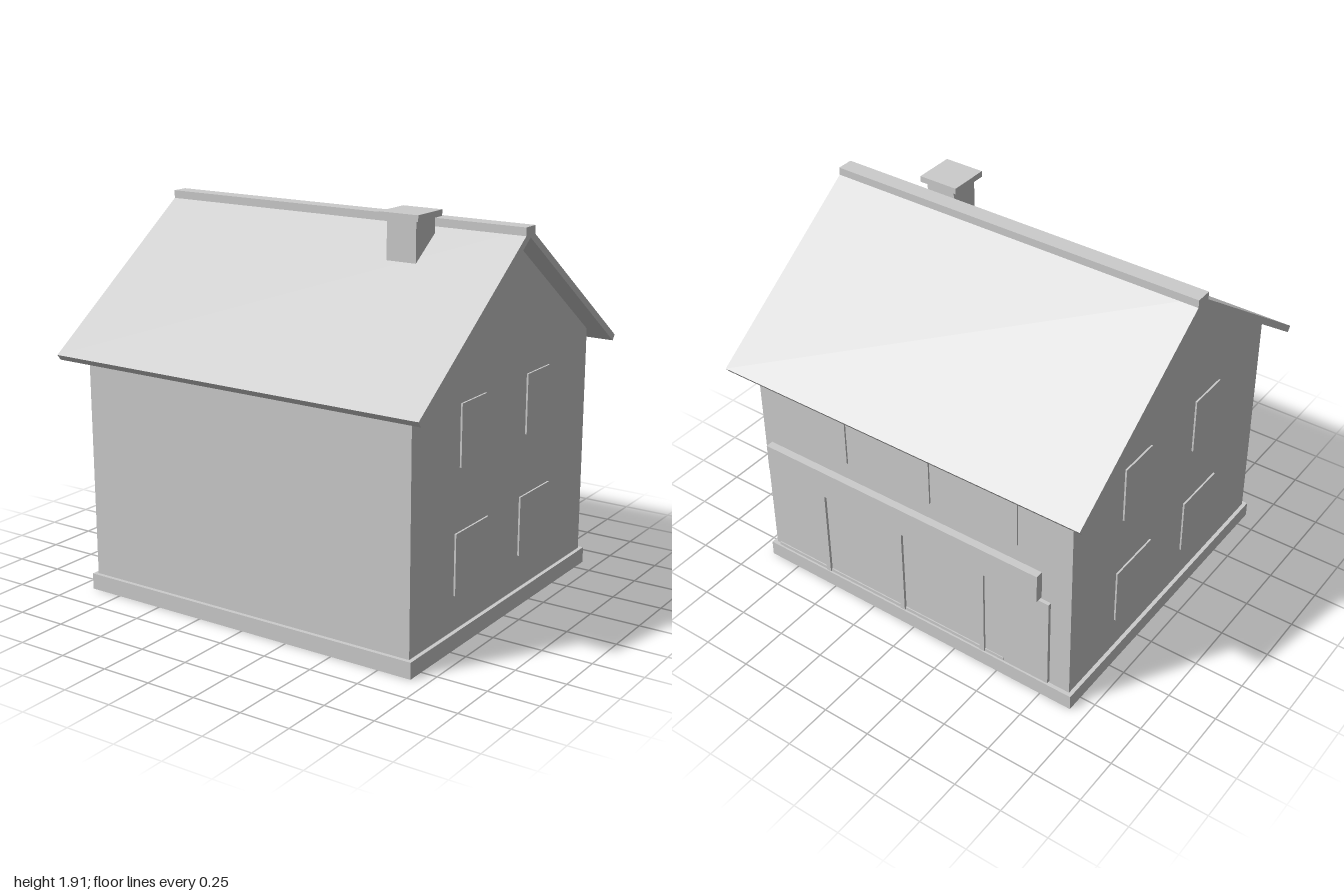
import * as THREE from 'three';

export function createModel() {
  const model = new THREE.Group();
  model.name = 'house';
  const plaster = new THREE.MeshStandardMaterial({ color: 0xcccccc });
  plaster.name = 'light grey';

  // Box given by its extents on each axis
  function box(name, [x0, x1], [y0, y1], [z0, z1]) {
    const mesh = new THREE.Mesh(new THREE.BoxGeometry(x1 - x0, y1 - y0, z1 - z0), plaster);
    mesh.position.set((x0 + x1) / 2, (y0 + y1) / 2, (z0 + z1) / 2);
    mesh.name = name;
    model.add(mesh);
  }

  // Outline of [z, y] points extruded along x, centred
  function prism(name, points, length) {
    const shape = new THREE.Shape(points.map(([z, y]) => new THREE.Vector2(-z, y)));
    const geometry = new THREE.ExtrudeGeometry(shape, { depth: length, bevelEnabled: false });
    geometry.translate(0, 0, -length / 2);
    geometry.rotateY(Math.PI / 2);
    // After the turn, shape x runs along -z
    const mesh = new THREE.Mesh(geometry, plaster);
    mesh.name = name;
    model.add(mesh);
  }

  // Plinth and gabled walls
  box('plinth', [-0.92, 0.92], [0, 0.08], [-0.84, 0.84]);
  prism('walls', [[-0.82, 0.08], [0.82, 0.08], [0.82, 1.235], [0, 1.82], [-0.82, 1.235]], 1.8);

  // Roof with overhanging eaves, and ridge cap
  prism('roof', [
    [0.931, 1.197], [0, 1.861], [-0.931, 1.197],
    [-0.911, 1.17], [0, 1.82], [0.911, 1.17],
  ], 2);
  box('ridgeCap', [-1, 1], [1.825, 1.87], [-0.042, 0.042]);

  // Chimney
  box('chimneyStack', [0.398, 0.553], [1.6, 1.885], [0.077, 0.238]);
  box('chimneyCap', [0.37, 0.578], [1.885, 1.915], [0.056, 0.263]);

  // Gable windows on both ends
  for (const side of [-1, 1]) {
    const x = side > 0 ? [0.895, 0.909] : [-0.909, -0.895];
    for (const z of [-0.305, 0.305]) {
      box('upperGableWindow', x, [0.846, 1.14], [z - 0.109, z + 0.109]);
    }
    for (const z of [-0.301, 0.301]) {
      box('lowerGableWindow', x, [0.25, 0.545], [z - 0.147, z + 0.147]);
    }
  }

  // Upper windows at the back
  for (const x of [-0.49, 0, 0.49]) {
    box('upperBackWindow', [x - 0.12, x + 0.12], [0.846, 1.14], [-0.829, -0.81]);
  }

  // Shopfront at the back: fascia, glazing, sill and posts
  box('fascia', [-0.74, 0.86], [0.6, 0.75], [-0.86, -0.81]);
  box('shopGlazing', [-0.42, 0.86], [0.11, 0.59], [-0.836, -0.81]);
  box('shopDoor', [-0.79, -0.42], [0.09, 0.59], [-0.838, -0.81]);
  box('shopSill', [-0.54, 0.86], [0.095, 0.112], [-0.842, -0.81]);
  for (const x of [-0.422, 0.056, 0.528]) {
    box('shopPost', [x - 0.013, x + 0.013], [0.1, 0.597], [-0.85, -0.81]);
  }

  return model;
}
